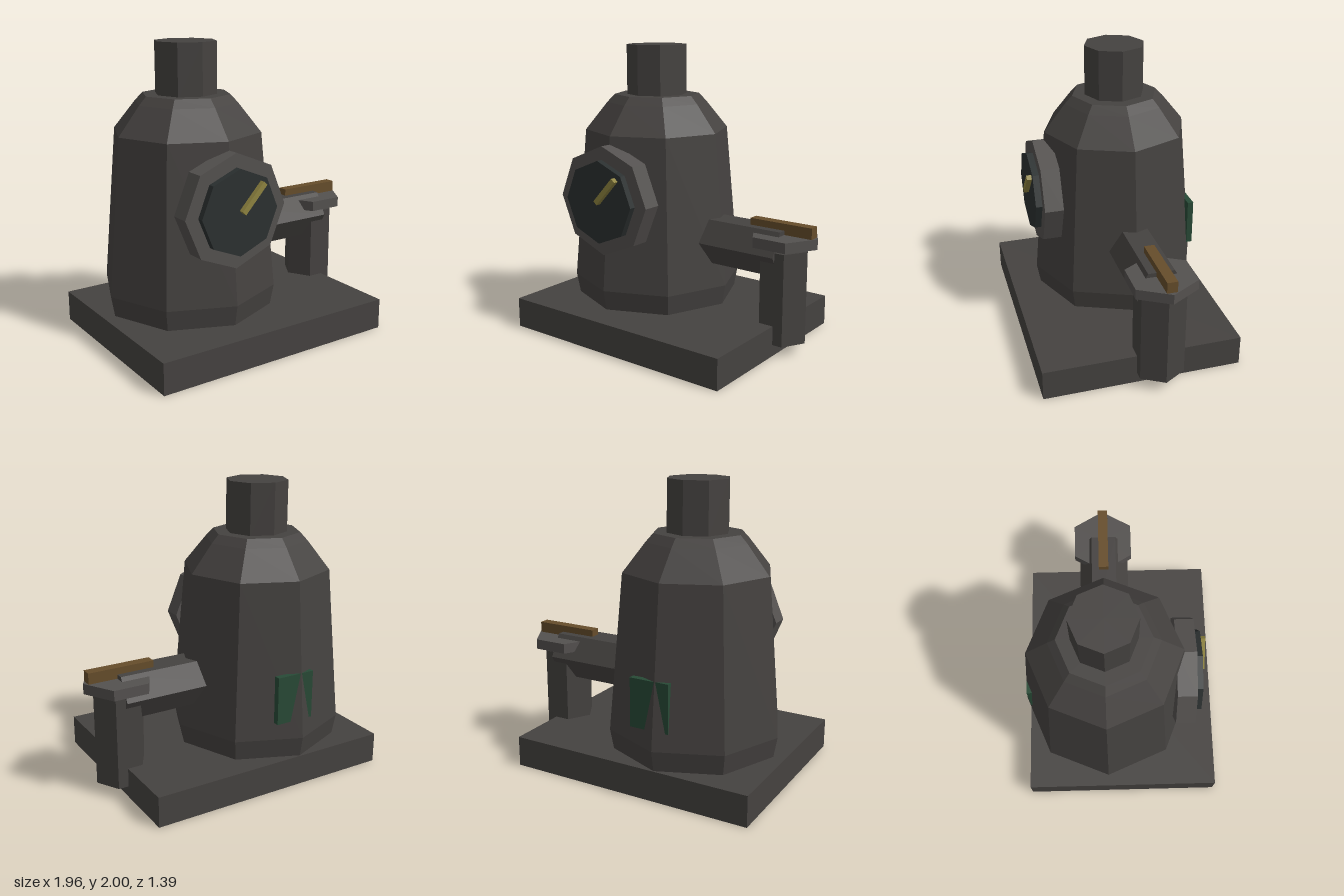
import * as THREE from 'three';

const IRON = 0x454240, LIGHT_IRON = 0x54514f, GLASS = 0x2b3030;
const BRASS = 0x8f8440, WOOD = 0x664d2b, GREEN = 0x284a36;

export function createModel() {
  const model = new THREE.Group();
  const cx = -0.325, cz = -0.095; // boiler axis

  const add = (name, geometry, color, x, y, z) => {
    const material = new THREE.MeshStandardMaterial({ color, flatShading: true });
    const mesh = new THREE.Mesh(geometry, material);
    mesh.name = name;
    mesh.position.set(x, y, z);
    model.add(mesh);
    return mesh;
  };
  const box = (w, h, d) => new THREE.BoxGeometry(w, h, d);
  const prism = (r, h, sides) => new THREE.CylinderGeometry(r, r, h, sides);

  // Base slab
  add('base', box(1.735, 0.21, 1.37), IRON, -0.1125, 0.105, 0.007);

  // Eight-sided boiler with a stepped shoulder, and its chimney
  const profile = [[0, 0.2], [0.573, 0.2], [0.6, 0.35], [0.505, 1.41], [0.352, 1.6], [0.3, 1.655], [0, 1.655]]
    .map(([r, y]) => new THREE.Vector2(r, y));
  add('boiler', new THREE.LatheGeometry(profile, 8), IRON, cx, 0, cz);
  add('chimney', prism(0.21, 0.36, 8), IRON, cx, 1.82, cz);

  // Gauge on the front
  add('gaugeBezel', prism(0.375, 0.13, 8).rotateX(Math.PI / 2), LIGHT_IRON, cx, 0.98, 0.43);
  add('gaugeFace', prism(0.283, 0.06, 8).rotateX(Math.PI / 2), GLASS, cx, 0.98, 0.51);
  add('gaugeNeedle', box(0.235, 0.035, 0.04), BRASS, -0.24, 1.07, 0.555).rotation.z = 0.82;

  // Six-sided side arm, its points facing front and back
  add('sideArm', prism(0.177, 0.755, 6).rotateZ(Math.PI / 2), IRON, 0.3775, 0.68, cz);

  // Six-sided post and plate, points along the arm
  add('post', prism(0.176, 0.63, 6).rotateY(Math.PI / 2), IRON, 0.737, 0.395, cz);
  add('plate', prism(0.24, 0.07, 6).rotateY(Math.PI / 2), LIGHT_IRON, 0.74, 0.77, cz - 0.005);

  // Wooden lever on the plate
  add('lever', box(0.46, 0.08, 0.07), WOOD, 0.725, 0.84, -0.097);

  // Rear panel, split by the boiler's ridge
  add('rearPanel', box(0.275, 0.33, 0.042), GREEN, -0.2825, 0.635, -0.632);

  return model;
}
